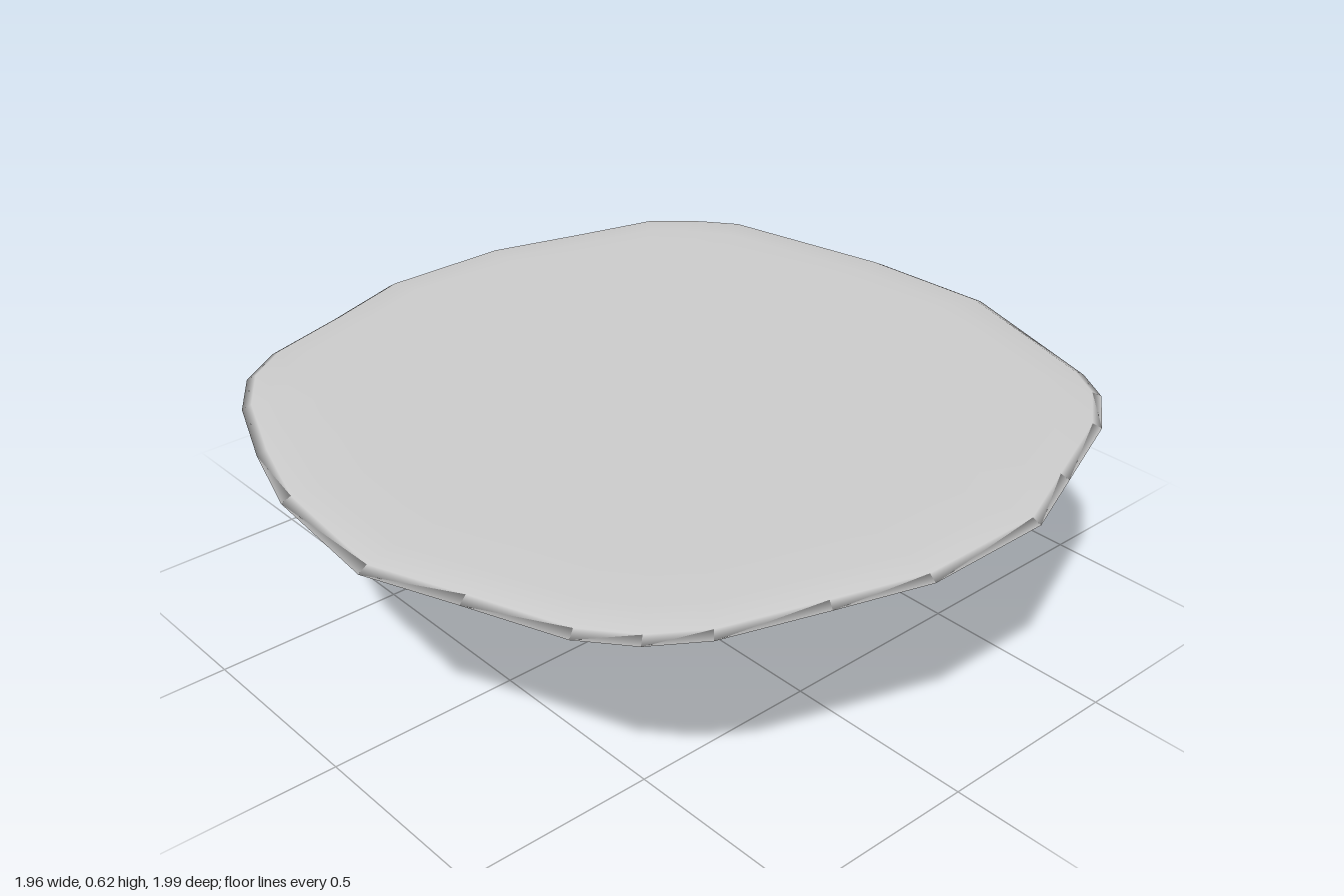
import * as THREE from 'three';

// Irregular rounded-square rim, as x, z pairs running from +x towards +z
const RIM = [
  [0.98, -0.22], [0.98, 0.12], [0.91, 0.35], [0.83, 0.6], [0.75, 0.72], [0.64, 0.81], [0.4, 0.9],
  [0.17, 0.99], [-0.18, 0.96], [-0.4, 0.89], [-0.62, 0.8], [-0.75, 0.71], [-0.83, 0.59],
  [-0.9, 0.36], [-0.98, 0.13], [-0.98, -0.22], [-0.91, -0.47], [-0.85, -0.7], [-0.75, -0.81],
  [-0.66, -0.88], [-0.2, -0.98], [0.15, -1], [0.6, -0.86], [0.7, -0.8], [0.8, -0.67], [0.9, -0.42],
];

// Levels from bottom to top: height, reach to +x, -x, +z, -z, roundness
const LEVELS = [
  [0.07, 0.20, 0.23, 0.18, 0.26, 1],
  [0.20, 0.31, 0.40, 0.34, 0.38, 0.9],
  [0.33, 0.40, 0.56, 0.53, 0.56, 0.7],
  [0.44, 0.50, 0.71, 0.69, 0.71, 0.5],
  [0.51, 0.70, 0.82, 0.79, 0.83, 0.3],
  [0.57, 0.86, 0.91, 0.89, 0.92, 0.1],
  [0.605, 0.98, 0.98, 1, 1, 0],
  [0.618, 0.96, 0.96, 0.975, 0.975, 0],
  [0.625, 0.88, 0.88, 0.89, 0.88, 0],
  [0.625, 0.75, 0.75, 0.75, 0.75, 0],
];

function levelPoint([px, pz], [y, right, left, front, back, round]) {
  // Blend the rim outline towards an ellipse lower down
  const u = px / 0.98;
  const len = Math.hypot(u, pz);
  const x = THREE.MathUtils.lerp(u, u / len, round);
  const z = THREE.MathUtils.lerp(pz, pz / len, round);
  // Rings shift towards the off-centre tip near the bottom
  const shift = y < 0.1 ? -0.01 : 0;
  return [x * (x > 0 ? right : left) + shift, y, z * (z > 0 ? front : back) + shift];
}

export function createModel() {
  const group = new THREE.Group();
  const n = RIM.length;
  const positions = [-0.01, 0, -0.04]; // tip
  const index = [];

  for (const level of LEVELS) {
    for (const p of RIM) positions.push(...levelPoint(p, level));
  }
  positions.push(0, 0.625, 0); // centre of the flat top
  const centre = positions.length / 3 - 1;
  const at = (level, j) => 1 + level * n + (j % n);

  for (let j = 0; j < n; j++) {
    index.push(0, at(0, j), at(0, j + 1));
    for (let i = 0; i < LEVELS.length - 1; i++) {
      const a = at(i, j), b = at(i, j + 1), c = at(i + 1, j), d = at(i + 1, j + 1);
      index.push(a, c, b, b, c, d);
    }
    index.push(at(LEVELS.length - 1, j), centre, at(LEVELS.length - 1, j + 1));
  }

  const geometry = new THREE.BufferGeometry();
  geometry.setAttribute('position', new THREE.Float32BufferAttribute(positions, 3));
  geometry.setIndex(index);
  geometry.computeVertexNormals();

  // One smooth rock body with a flat top
  const island = new THREE.Mesh(geometry, new THREE.MeshStandardMaterial({ color: 0xcccccc }));
  island.name = 'floatingIsland';
  group.add(island);
  return group;
}
